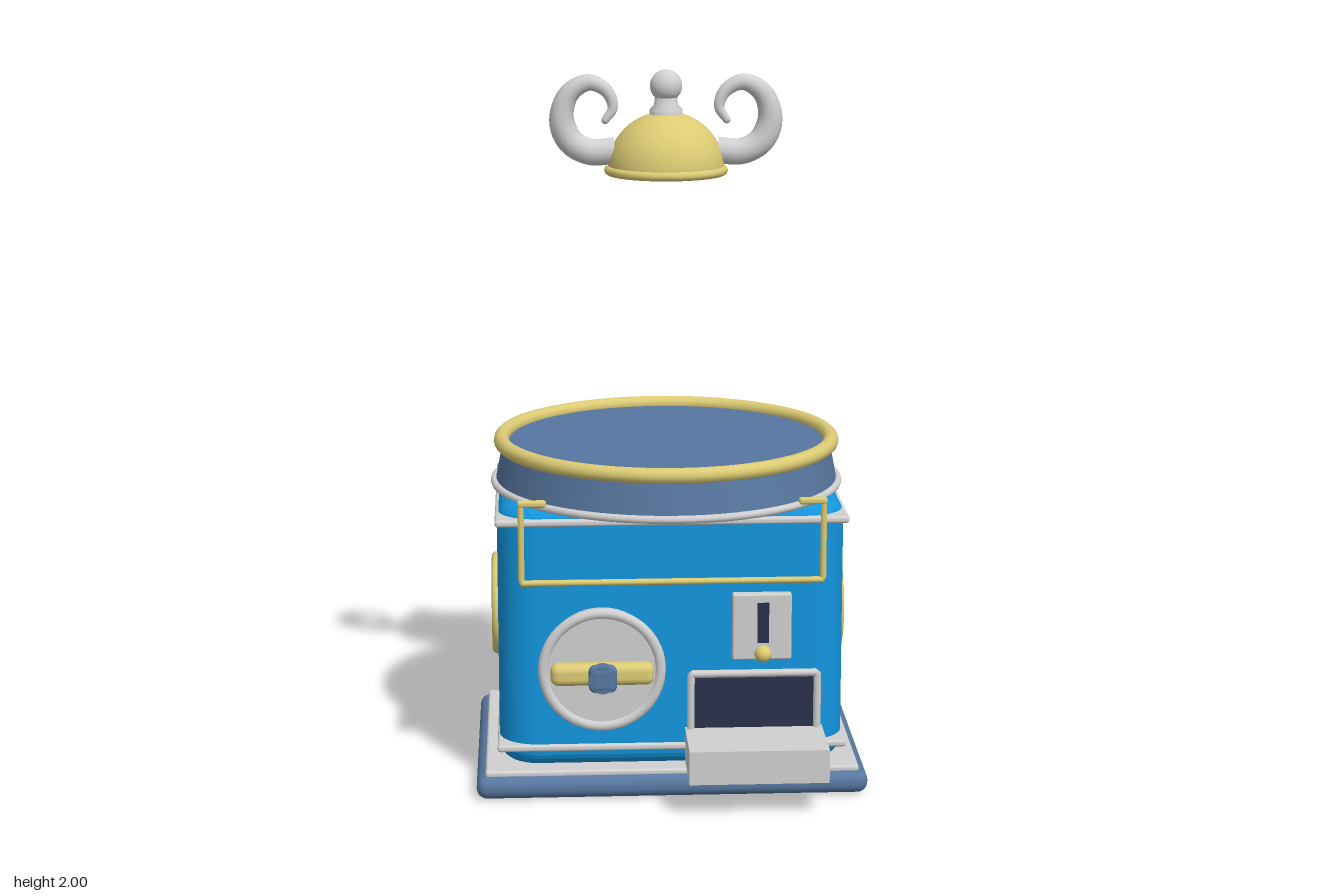
import * as THREE from 'three';
import { RoundedBoxGeometry } from 'three/addons/geometries/RoundedBoxGeometry.js';

const paint = (name, color) => Object.assign(new THREE.MeshStandardMaterial({ color }), { name });
const CZ = -0.025; // depth centre of the cabinet

export function createModel() {
  const blue = paint('bright blue', 0x1295de);
  const slate = paint('slate blue', 0x5777a0);
  const gold = paint('gold', 0xdccb74);
  const silver = paint('silver', 0xd0d0d0);
  const navy = paint('dark navy', 0x29324c);

  const model = new THREE.Group();
  model.name = 'candyMachine';

  const add = (name, geometry, material, x = 0, y = 0, z = 0, parent = model) => {
    const mesh = new THREE.Mesh(geometry, material);
    mesh.name = name;
    mesh.position.set(x, y, z);
    parent.add(mesh);
    return mesh;
  };
  const group = (name, x, y, z) => {
    const g = new THREE.Group();
    g.name = name;
    g.position.set(x, y, z);
    model.add(g);
    return g;
  };
  const rounded = (w, h, d, r) => new RoundedBoxGeometry(w, h, d, 4, r);
  // Cylinder whose axis points along z
  const disc = (r, depth) => new THREE.CylinderGeometry(r, r, depth, 48).rotateX(Math.PI / 2);
  const lathe = (points) => new THREE.LatheGeometry(points.map(([r, y]) => new THREE.Vector2(r, y)), 72);
  // Straight-cornered rod through a list of points
  const rod = (points, r) => {
    const path = new THREE.CurvePath();
    const v = points.map((p) => new THREE.Vector3(...p));
    for (let i = 1; i < v.length; i++) path.add(new THREE.LineCurve3(v[i - 1], v[i]));
    return new THREE.TubeGeometry(path, 160, r, 10);
  };

  // Base slab and its top plate
  add('base', rounded(1.1, 0.065, 0.78, 0.03), slate, 0, 0.0325, CZ);
  add('basePlate', rounded(1.05, 0.02, 0.735, 0.008), silver, 0, 0.069, CZ);

  // Cabinet: rounded rectangle extruded upward with soft top and bottom edges
  const bevel = 0.05, w = 0.485 - bevel, d = 0.345 - bevel, c = 0.06;
  const outline = new THREE.Shape();
  outline.moveTo(-w + c, -d).lineTo(w - c, -d);
  outline.absarc(w - c, -d + c, c, -Math.PI / 2, 0);
  outline.absarc(w - c, d - c, c, 0, Math.PI / 2);
  outline.absarc(-w + c, d - c, c, Math.PI / 2, Math.PI);
  outline.absarc(-w + c, -d + c, c, Math.PI, Math.PI * 1.5);
  const cabinet = new THREE.ExtrudeGeometry(outline, {
    depth: 0.65, bevelSize: bevel, bevelThickness: bevel, bevelSegments: 6, curveSegments: 10,
  }).rotateX(-Math.PI / 2);
  add('cabinet', cabinet, blue, 0, 0.13, CZ);

  // Square-cornered trim plates around the cabinet
  for (const [name, y] of [['lowerTrim', 0.14], ['upperTrim', 0.79]]) {
    add(name, rounded(0.98, 0.02, 0.71, 0.008), silver, 0, y, CZ);
  }

  // Round drum with silver lower rim and gold upper ring
  const drum = group('drum', 0, 0, CZ);
  add('drumBody', lathe([[0, 0.832], [0.49, 0.832], [0.49, 0.832], [0.468, 0.945], [0.468, 0.945], [0, 0.945]]),
    slate, 0, 0, 0, drum);
  add('drumLowerRim', new THREE.TorusGeometry(0.493, 0.011, 10, 72).rotateX(Math.PI / 2), silver, 0, 0.833, 0, drum);
  add('drumUpperRing', new THREE.TorusGeometry(0.472, 0.022, 12, 72).rotateX(Math.PI / 2), gold, 0, 0.95, 0, drum);

  // Floating lid: dome, rim, neck and ball
  const lid = group('lid', 0, 0, CZ);
  const dome = [[0, 1.709], [0.16, 1.709]];
  for (let i = 0; i <= 16; i++) {
    const a = (i / 16) * Math.PI / 2;
    dome.push([0.163 * Math.cos(a), 1.725 + 0.158 * Math.sin(a)]);
  }
  add('lidDome', lathe(dome), gold, 0, 0, 0, lid);
  add('lidRim', new THREE.TorusGeometry(0.161, 0.013, 10, 64).rotateX(Math.PI / 2), gold, 0, 1.72, 0, lid);
  add('lidNeck', lathe([[0.046, 1.87], [0.046, 1.89], [0.034, 1.902], [0.03, 1.93]]), silver, 0, 0, 0, lid);
  add('lidBall', new THREE.SphereGeometry(0.045, 32, 20), silver, 0, 1.955, 0, lid);

  // Curled lid handles: tubes that taper toward the tip
  const curl = new THREE.CatmullRomCurve3([
    [0.145, 1.774], [0.215, 1.772], [0.268, 1.802], [0.292, 1.865], [0.27, 1.935],
    [0.215, 1.965], [0.165, 1.94], [0.149, 1.895], [0.17, 1.86],
  ].map(([x, y]) => new THREE.Vector3(x, y, 0)));
  const steps = 64, sides = 16;
  const horn = new THREE.TubeGeometry(curl, steps, 1, sides);
  const pos = horn.attributes.position, v = new THREE.Vector3();
  for (let i = 0; i < pos.count; i++) {
    const t = Math.floor(i / (sides + 1)) / steps;
    const centre = curl.getPointAt(t);
    const r = t < 0.35 ? 0.037 : THREE.MathUtils.lerp(0.037, 0.011, (t - 0.35) / 0.65);
    v.fromBufferAttribute(pos, i).sub(centre).multiplyScalar(r).add(centre);
    pos.setXYZ(i, v.x, v.y, v.z);
  }
  const tip = curl.getPointAt(1);
  for (const side of ['left', 'right']) {
    const handle = new THREE.Group();
    handle.name = side + 'LidHandle';
    handle.rotation.y = side === 'left' ? 0 : Math.PI;
    lid.add(handle);
    add('handleCurl', horn, silver, 0, 0, 0, handle);
    add('handleTip', new THREE.SphereGeometry(0.011, 12, 8), silver, tip.x, tip.y, 0, handle);
  }

  // Gold sign bracket across the front, with tabs at its upper ends
  add('frontBracket', rod([[-0.418, 0.845, 0.326], [-0.418, 0.62, 0.326], [0.418, 0.62, 0.326], [0.418, 0.845, 0.326]], 0.009), gold);
  for (const s of [-1, 1]) {
    add('bracketTab', rounded(0.08, 0.02, 0.02, 0.008), gold, s * 0.388, 0.846, 0.326);
  }

  // Turning dial
  const dial = group('dial', -0.198, 0.382, 0);
  add('dialPlate', disc(0.165, 0.06), silver, 0, 0, 0.345, dial);
  add('dialRing', new THREE.TorusGeometry(0.162, 0.015, 10, 64), silver, 0, 0, 0.37, dial);
  add('dialGrip', rounded(0.285, 0.062, 0.055, 0.022), gold, 0, 0, 0.404, dial);
  add('dialKnob', rounded(0.078, 0.078, 0.04, 0.019), slate, 0, 0, 0.45, dial);
  add('dialKnobCore', disc(0.039, 0.036), slate, 0, 0, 0.45, dial);

  // Coin panel with slot and small button
  const coin = group('coinPanel', 0.248, 0.49, 0);
  add('coinPlate', rounded(0.165, 0.19, 0.04, 0.006), silver, 0, 0, 0.325, coin);
  add('coinSlot', new THREE.BoxGeometry(0.032, 0.115, 0.006), navy, 0.003, 0.013, 0.345, coin);
  add('coinButton', new THREE.SphereGeometry(0.024, 20, 14), gold, 0.003, -0.077, 0.346, coin);

  // Dispenser: dark opening, frame and tray
  const chute = group('dispenser', 0.228, 0, 0);
  add('chuteOpening', new THREE.BoxGeometry(0.35, 0.16, 0.008), navy, 0, 0.27, 0.324, chute);
  add('chuteFrame', rod([[-0.177, 0.19, 0.33], [-0.177, 0.352, 0.33], [0.177, 0.352, 0.33], [0.177, 0.19, 0.33]], 0.011),
    silver, 0, 0, 0, chute);
  add('tray', new THREE.BoxGeometry(0.385, 0.095, 0.215), silver, 0, 0.146, 0.4225, chute);

  // Round ornaments on both sides
  for (const s of [-1, 1]) {
    const port = group(s > 0 ? 'leftOrnament' : 'rightOrnament', s * 0.485, 0.465, CZ);
    port.rotation.y = s * Math.PI / 2;
    add('ornamentDisc', disc(0.138, 0.02), silver, 0, 0, 0, port);
    add('ornamentRing', new THREE.TorusGeometry(0.135, 0.013, 10, 56), gold, 0, 0, 0.007, port);
    add('ornamentCentre', disc(0.055, 0.008), blue, 0, 0, 0.011, port);
  }

  return model;
}
